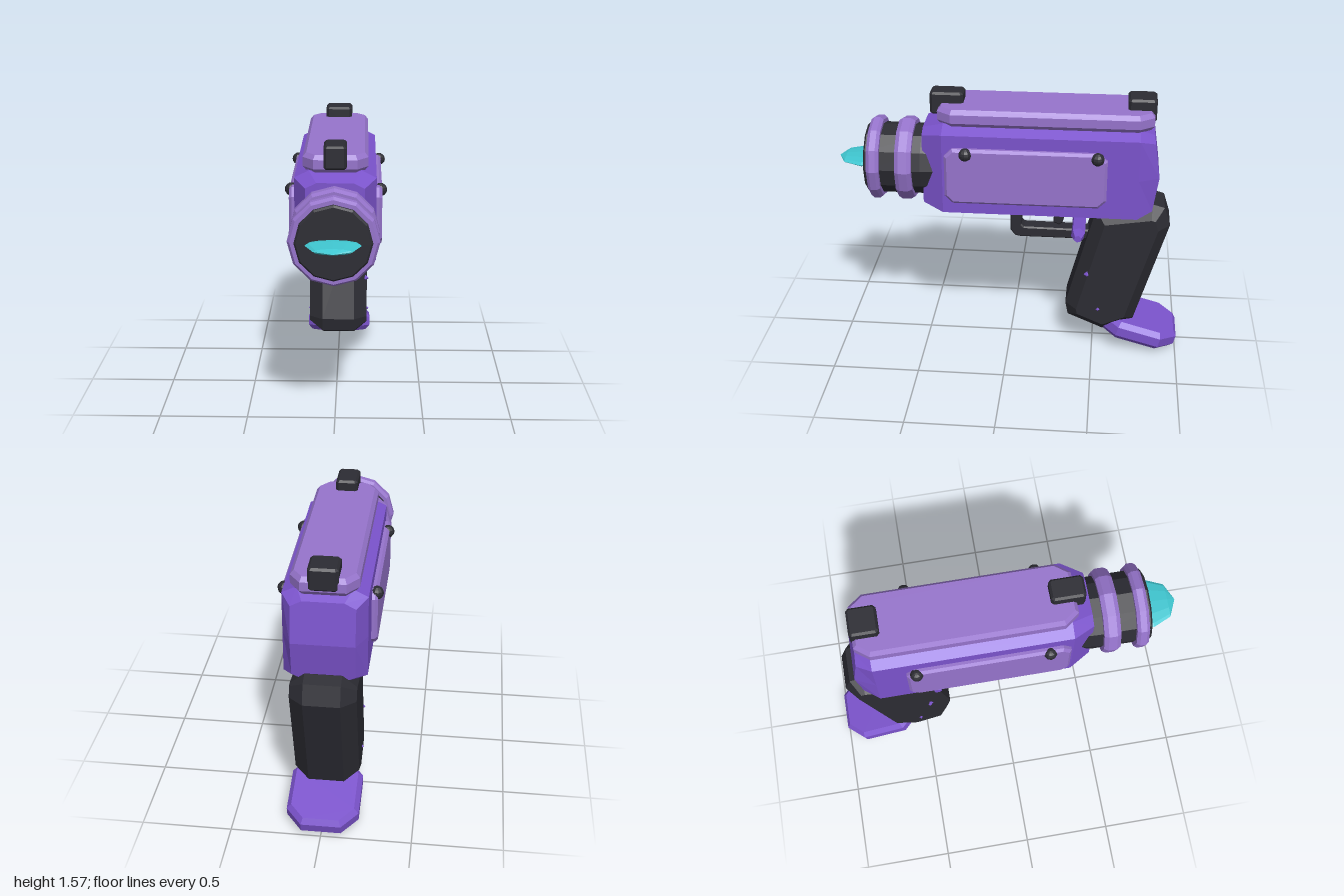
import * as THREE from 'three';

const paint = (name, color) => {
  const m = new THREE.MeshStandardMaterial({ color });
  m.name = name;
  return m;
};

// Faceted look: every face gets its own normal
function flat(geo) {
  const g = geo.index ? geo.toNonIndexed() : geo;
  g.computeVertexNormals();
  return g;
}

// Rectangle outline with cut corners
const cutRect = (w, h, cx, cy = cx) => [
  [-w / 2 + cx, -h / 2], [w / 2 - cx, -h / 2], [w / 2, -h / 2 + cy], [w / 2, h / 2 - cy],
  [w / 2 - cx, h / 2], [-w / 2 + cx, h / 2], [-w / 2, h / 2 - cy], [-w / 2, -h / 2 + cy],
];

// Bevelled plate of an outline, centred on z = 0; the outline is its widest extent
function slab(points, depth, bevel, bevelDepth = bevel) {
  const shape = new THREE.Shape(points.map(([x, y]) => new THREE.Vector2(x, y)));
  const core = depth - 2 * bevelDepth;
  const g = new THREE.ExtrudeGeometry(shape, {
    depth: core, bevelEnabled: true, bevelSegments: 1,
    bevelSize: bevel, bevelOffset: -bevel, bevelThickness: bevelDepth,
  });
  g.translate(0, 0, -core / 2);
  return flat(g);
}

// Skin over rings of equal point count, running from back to front, with fan caps
function loft(rings) {
  const n = rings[0].length, pos = rings.flat(2), idx = [];
  for (let r = 0; r < rings.length - 1; r++) {
    for (let i = 0; i < n; i++) {
      const a = r * n + i, b = r * n + (i + 1) % n;
      idx.push(a, b, b + n, a, b + n, a + n);
    }
  }
  [0, rings.length - 1].forEach((r) => {
    const c = pos.length / 3, mid = [0, 1, 2].map((k) => rings[r].reduce((s, p) => s + p[k], 0) / n);
    if (r === 0) mid[2] = Math.min(...rings[0].map((p) => p[2]));
    pos.push(...mid);
    for (let i = 0; i < n; i++) {
      const a = r * n + i, b = r * n + (i + 1) % n;
      if (r === 0) idx.push(c, b, a); else idx.push(c, a, b);
    }
  });
  const g = new THREE.BufferGeometry();
  g.setAttribute('position', new THREE.Float32BufferAttribute(pos, 3));
  g.setIndex(idx);
  return flat(g);
}

// Twelve-sided turned part along z; profile is [radius, z]
function turned(profile, squash = 1) {
  const g = new THREE.LatheGeometry(profile.map(([r, z]) => new THREE.Vector2(r, z)), 12);
  g.rotateX(Math.PI / 2);
  g.scale(1, squash, 1);
  return flat(g);
}

export function createModel() {
  const purple = paint('purple', 0x7b53cc);
  const lilac = paint('lilac', 0x9674cc);
  const dark = paint('charcoal', 0x2c2c33);
  const cyan = paint('cyan', 0x3fc6d0);

  const model = new THREE.Group();
  const add = (name, geo, mat, x = 0, y = 0, z = 0) => {
    const m = new THREE.Mesh(geo, mat);
    m.name = name;
    m.position.set(x, y, z);
    model.add(m);
    return m;
  };
  const axisY = 1.145;

  // Body: chamfered shell, with a slightly swollen back
  const section = (z, w, h, cx, cy, bulge = 0) => {
    const p = cutRect(w, h, cx, cy);
    p.splice(7, 0, [-w / 2, 0]);
    p.splice(3, 0, [w / 2, 0]);
    return p.map(([x, y]) => [x, y + axisY, z - bulge * (1 - Math.abs(y) / (h / 2))]);
  };
  add('body', loft([
    section(-0.81, 0.34, 0.47, 0.06, 0.03, 0.035),
    section(-0.73, 0.45, 0.55, 0.08, 0.04),
    section(0.37, 0.45, 0.55, 0.08, 0.04),
    section(0.49, 0.32, 0.47, 0.06, 0.03),
  ]), purple);

  // Top rail
  const rail = slab(cutRect(0.36, 1.21, 0.06, 0.08), 0.1, 0.02, 0.025);
  rail.rotateX(-Math.PI / 2);
  add('topRail', rail, lilac, 0, 1.46, -0.2);

  // Sights
  for (const [name, w, len, z] of [['frontSight', 0.125, 0.19, 0.36], ['rearSight', 0.16, 0.16, -0.735]]) {
    const g = slab(cutRect(w, len, 0.015), 0.13, 0.012);
    g.rotateX(-Math.PI / 2);
    add(name, g, dark, 0, 1.505, z);
  }

  // Side plates with round knobs, and studs on the grip
  for (const s of [1, -1]) {
    const side = s > 0 ? 'left' : 'right';
    const plate = slab(cutRect(0.91, 0.33, 0.045), 0.07, 0.015);
    plate.rotateY(s * Math.PI / 2);
    add(side + 'Plate', plate, lilac, s * 0.222, axisY, -0.1);
    for (const z of [0.235, -0.5]) {
      add(side + 'Knob', flat(new THREE.SphereGeometry(0.037, 10, 8)), dark, s * 0.248, 1.28, z);
    }
    for (const [y, z] of [[0.515, -0.46], [0.285, -0.53]]) {
      add(side + 'GripStud', flat(new THREE.OctahedronGeometry(0.02)), purple, s * 0.172, y, z);
    }
  }

  // Barrel with two rings and a flat glowing tip
  add('barrel', turned([[0, 0.38], [0.19, 0.40], [0.205, 0.5], [0.205, 0.815], [0.195, 0.825], [0, 0.825]]),
    dark, 0, axisY);
  for (const [z, half] of [[0.595, 0.047], [0.768, 0.035]]) {
    add('barrelRing', turned([[0.2, z - half], [0.228, z - half], [0.242, z - half * 0.5],
      [0.242, z + half * 0.5], [0.228, z + half], [0.2, z + half]]), lilac, 0, axisY);
  }
  add('tip', turned([[0, 0.81], [0.135, 0.815], [0.147, 0.85], [0.1, 0.955], [0, 1.0]], 0.17),
    cyan, 0, axisY);

  // Grip: slanted side profile in [-z, y]
  const grip = slab([[0.56, 0.11], [0.74, 0.19], [0.925, 0.82], [0.89, 0.93], [0.82, 0.95],
    [0.5, 0.9], [0.335, 0.28], [0.35, 0.2]], 0.36, 0.065, 0.08);
  grip.rotateY(Math.PI / 2);
  add('grip', grip, dark);

  // Slanted base plate under the grip
  const base = slab(cutRect(0.4, 0.46, 0.09, 0.1), 0.115, 0.025, 0.03);
  base.rotateX(-Math.PI / 2);
  base.rotateX(-0.27);
  add('basePlate', base, purple, 0, 0.115, -0.775);

  // Trigger guard: L-shaped side profile in [-z, y]
  const guard = slab([[0.03, 0.685], [0.06, 0.68], [0.5, 0.68], [0.5, 0.74], [0.08, 0.745],
    [0.065, 0.76], [0.065, 0.9], [0, 0.9], [0, 0.72]], 0.095, 0.008);
  guard.rotateY(Math.PI / 2);
  add('triggerGuard', guard, dark);

  // Trigger
  const trigger = slab([[0.25, 0.775], [0.285, 0.76], [0.305, 0.775], [0.335, 0.9], [0.26, 0.9]], 0.07, 0.008);
  trigger.rotateY(Math.PI / 2);
  add('trigger', trigger, dark);

  // Cross pin behind the trigger, six-sided with tapered ends
  const pin = new THREE.LatheGeometry([[0, -0.185], [0.022, -0.185], [0.042, -0.125], [0.042, 0.125],
    [0.022, 0.185], [0, 0.185]].map(([r, y]) => new THREE.Vector2(r, y)), 6);
  pin.rotateZ(Math.PI / 2);
  pin.rotateX(0.3);
  add('crossPin', flat(pin), purple, 0, 0.75, -0.4);

  return model;
}
